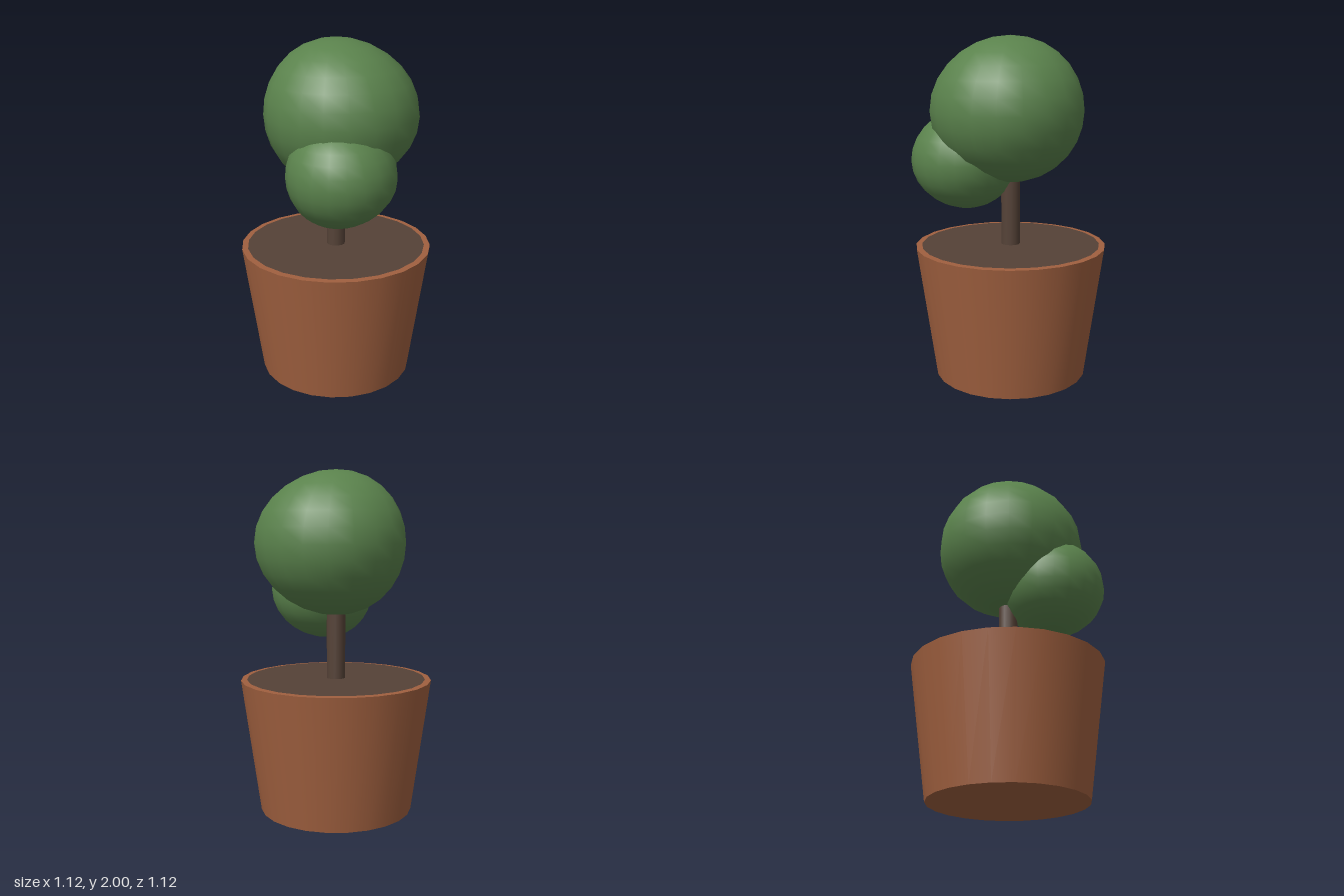
import * as THREE from 'three';

export function createModel() {
  const group = new THREE.Group();
  group.name = 'pottedTopiary';

  const material = (name, color) => {
    const m = new THREE.MeshStandardMaterial({ color });
    m.name = name;
    return m;
  };
  const terracotta = material('terracotta', 0xa0603f);
  const darkBrown = material('darkBrown', 0x554237);
  const leafGreen = material('leafGreen', 0x5a824c);

  const add = (name, geometry, mat, x, y, z) => {
    const mesh = new THREE.Mesh(geometry, mat);
    mesh.name = name;
    mesh.position.set(x, y, z);
    group.add(mesh);
    return mesh;
  };

  // Tapered pot, with a soil disc just proud of its top
  add('pot', new THREE.CylinderGeometry(0.56, 0.45, 0.785, 24), terracotta, 0, 0.3925, 0);
  const soil = new THREE.CircleGeometry(0.525, 24).rotateX(-Math.PI / 2);
  add('soil', soil, darkBrown, 0, 0.788, 0);

  // Trunk, reaching into the crown
  add('trunk', new THREE.CylinderGeometry(0.055, 0.055, 0.62, 12), darkBrown, 0, 1.09, 0);

  // Clipped foliage ball, bulging slightly to one side between its poles
  const foliage = new THREE.SphereGeometry(1, 20, 14);
  const p = foliage.attributes.position;
  for (let i = 0; i < p.count; i++) {
    const x = p.getX(i), y = p.getY(i), z = p.getZ(i);
    const bulge = 1 - y * y;
    p.setXYZ(i, 0.4425 * x + 0.0325 * bulge, 0.418 * y, 0.44 * z - 0.015 * bulge);
  }
  // Smooth normals of an ellipsoid, so the seam stays hidden
  const n = foliage.attributes.normal;
  const v = new THREE.Vector3();
  for (let i = 0; i < n.count; i++) {
    v.fromBufferAttribute(n, i);
    v.set(v.x / 0.4425, v.y / 0.418, v.z / 0.44).normalize();
    n.setXYZ(i, v.x, v.y, v.z);
  }
  add('crown', foliage, leafGreen, 0, 1.582, 0);
  add('sideFoliage', foliage, leafGreen, 0.2, 1.292, 0.165).scale.setScalar(0.7);

  return group;
}
